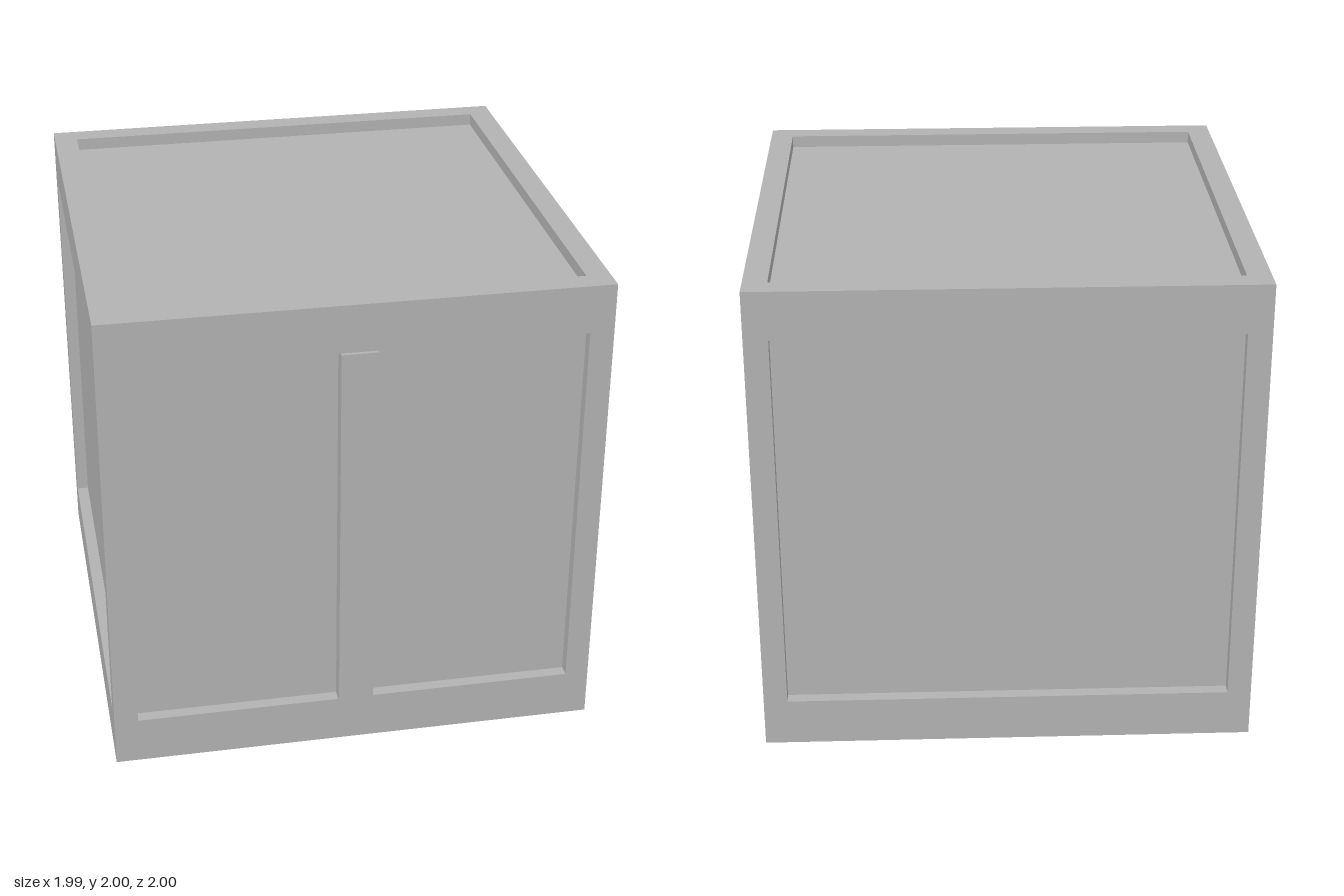
import * as THREE from 'three';

export function createModel() {
  const crate = new THREE.Group();
  crate.name = 'crate';
  const grey = new THREE.MeshStandardMaterial({ color: 0xb2b2b2 });
  grey.name = 'grey';

  const half = 0.9925, inner = 0.897, zMid = -0.0075;
  const bottom = 0.016, railLow = 0.213, railHigh = 1.803, top = 2;

  const add = (name, geometry, x, y, z) => {
    const mesh = new THREE.Mesh(geometry, grey);
    mesh.name = name;
    mesh.position.set(x, y, z);
    crate.add(mesh);
  };
  const square = (Type, r) =>
    new Type([[-r, -r], [r, -r], [r, r], [-r, r]].map(([x, y]) => new THREE.Vector2(x, y)));

  // Panels: one core set back from the frame, its underside just below the rim
  add('panels', new THREE.BoxGeometry(1.886, 1.95, 1.886), 0, 0.975, zMid);

  // Square rims around the top and bottom
  const rim = (name, y0, y1) => {
    const shape = square(THREE.Shape, half);
    shape.holes.push(square(THREE.Path, inner));
    const geometry = new THREE.ExtrudeGeometry(shape, { depth: y1 - y0, bevelEnabled: false });
    geometry.rotateX(-Math.PI / 2);
    add(name, geometry, 0, y0, zMid);
  };
  rim('bottomRim', bottom, railLow);
  rim('topRim', railHigh, top);

  // Underside closing the bottom rim
  add('underside', new THREE.BoxGeometry(inner * 2, 0.03, inner * 2), 0, bottom + 0.015, zMid);

  // Corner posts between the rims
  const width = half - inner, height = railHigh - railLow, yMid = (railHigh + railLow) / 2;
  for (const sx of [-1, 1]) {
    for (const sz of [-1, 1]) {
      add('cornerPost', new THREE.BoxGeometry(width, height, width),
        sx * (half + inner) / 2, yMid, zMid + sz * (half + inner) / 2);
    }
  }

  // Upright slat on the front, slightly proud of the frame
  add('frontSlat', new THREE.BoxGeometry(0.143, height, 0.08), 0, yMid, 0.96);

  return crate;
}
